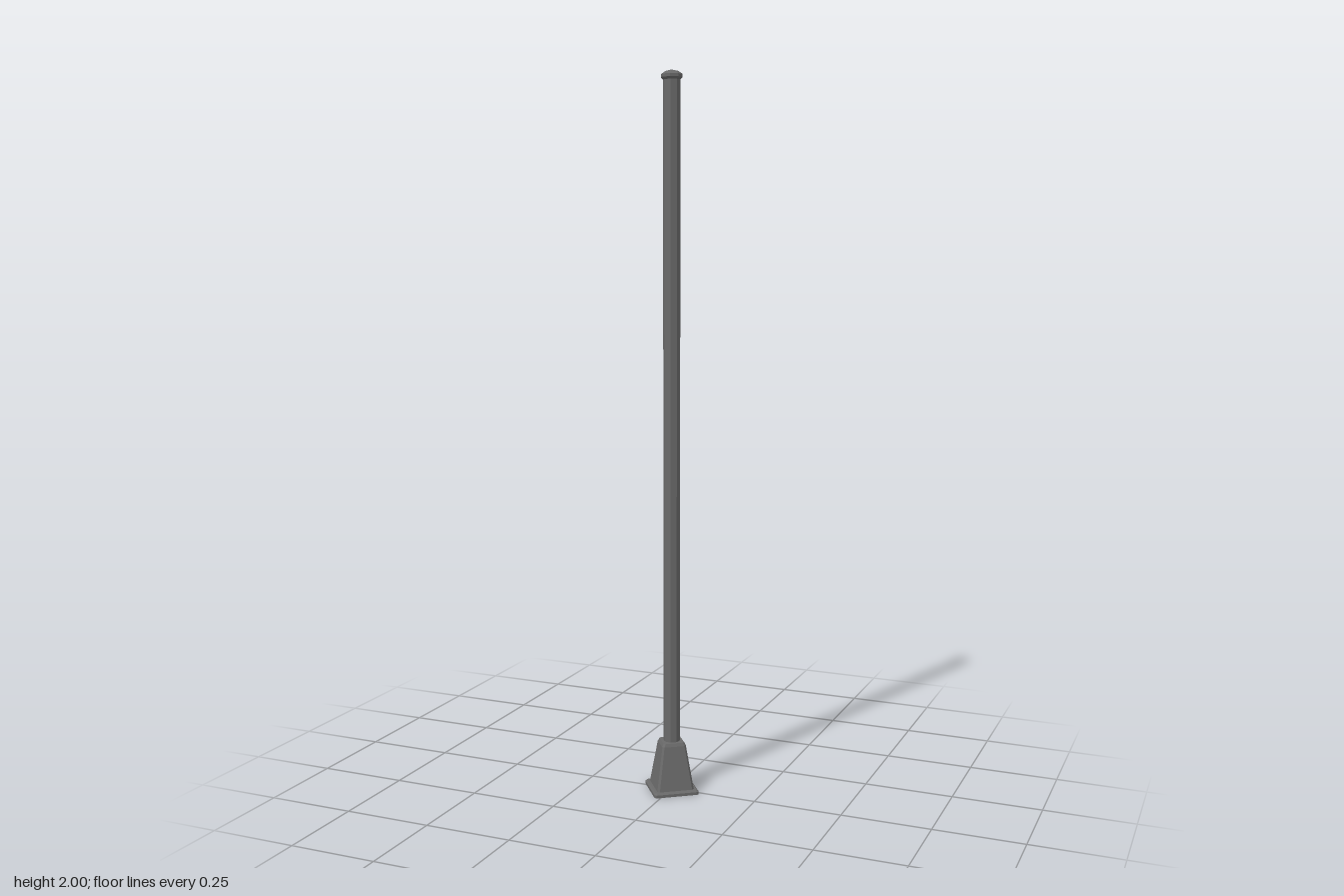
import * as THREE from 'three';

// Lofts chamfered-square rings [y, halfWidth, chamfer] with both ends closed
function squareLoft(rings) {
  const pos = [], index = [];
  for (const [y, h, c] of rings) {
    const k = h - c;
    for (const [x, z] of [[h, k], [k, h], [-k, h], [-h, k], [-h, -k], [-k, -h], [k, -h], [h, -k]]) pos.push(x, y, z);
  }
  const last = (rings.length - 1) * 8;
  for (let r = 0; r < last; r += 8) {
    for (let i = 0; i < 8; i++) {
      const a = r + i, b = r + (i + 1) % 8;
      index.push(a, a + 8, b, b, a + 8, b + 8);
    }
  }
  for (let i = 1; i < 7; i++) {
    index.push(0, i, i + 1);
    index.push(last, last + i + 1, last + i);
  }
  const g = new THREE.BufferGeometry();
  g.setAttribute('position', new THREE.Float32BufferAttribute(pos, 3));
  g.setIndex(index);
  const flat = g.toNonIndexed();
  flat.computeVertexNormals();
  return flat;
}

// Eight-sided turned part with flat facets
function octagonLathe(profile) {
  const g = new THREE.LatheGeometry(profile.map(([r, y]) => new THREE.Vector2(r, y)), 8, Math.PI / 8).toNonIndexed();
  g.computeVertexNormals();
  return g;
}

export function createModel() {
  const model = new THREE.Group();
  model.name = 'post';
  const metal = new THREE.MeshStandardMaterial({ color: 0x6a6a6a });
  metal.name = 'grey metal';

  const turned = new THREE.Group();
  turned.name = 'turnedPost';
  turned.rotation.y = THREE.MathUtils.degToRad(36.5);
  model.add(turned);
  const add = (name, geometry) => {
    const mesh = new THREE.Mesh(geometry, metal);
    mesh.name = name;
    turned.add(mesh);
  };

  // Thin foot plate with a bevelled rim
  add('footPlate', squareLoft([[0, 0.064, 0.005], [0.008, 0.064, 0.005], [0.012, 0.06, 0.005]]));
  // Tapered socket with a chamfered top
  add('socket', squareLoft([[0.011, 0.053, 0.006], [0.135, 0.034, 0.005], [0.144, 0.03, 0.005]]));
  // Long octagonal pole
  add('pole', octagonLathe([[0.0235, 0.14], [0.0235, 1.978]]));
  // Low domed cap
  add('cap', octagonLathe([[0, 1.974], [0.024, 1.974], [0.0295, 1.98], [0.0295, 1.988], [0.018, 1.996], [0, 2]]));
  return model;
}
